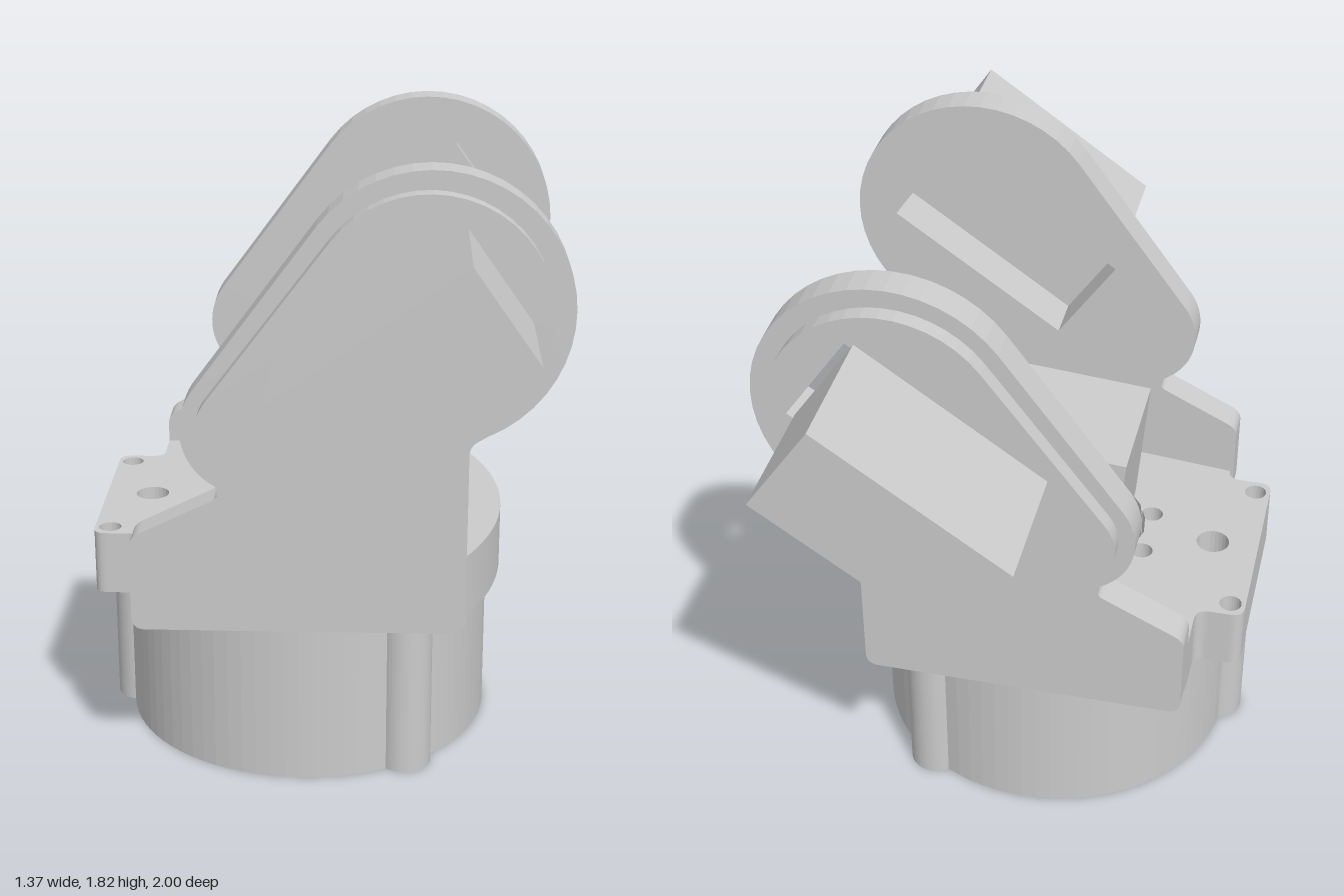
import * as THREE from 'three';

const rad = THREE.MathUtils.degToRad;
const material = new THREE.MeshStandardMaterial({ color: 0xcccccc });

function addMesh(parent, name, geometry) {
  const mesh = new THREE.Mesh(geometry, material);
  mesh.name = name;
  parent.add(mesh);
  return mesh;
}

function extrude(shape, depth, curveSegments = 10) {
  return new THREE.ExtrudeGeometry(shape, { depth, bevelEnabled: false, curveSegments });
}

// Plan outline extruded upwards between two heights
function slab(shape, y0, y1, segments) {
  return extrude(shape, y1 - y0, segments).rotateX(-Math.PI / 2).translate(0, y0, 0);
}

function drill(shape, x, y, r) {
  shape.holes.push(new THREE.Path().absarc(x, y, r, 0, Math.PI * 2, true));
}

// Side motor placement, shared by the motors and their openings
const MOTOR = { x: 0.21, y: 1.364, w: 0.635, h: 0.312, tilt: rad(35) };

function cutMotorOpening(shape) {
  const c = Math.cos(MOTOR.tilt), s = Math.sin(MOTOR.tilt);
  const corners = [[-1, -1], [-1, 1], [1, 1], [1, -1]].map(([i, j]) => {
    const u = i * MOTOR.w / 2, v = j * MOTOR.h / 2;
    return new THREE.Vector2(MOTOR.x + u * c - v * s, MOTOR.y + u * s + v * c);
  });
  shape.holes.push(new THREE.Path(corners));
}

// Round base with three bolt lobes and a wide bore
function baseShape() {
  const cx = -0.07, R = 0.55, d = 0.525, r = 0.08;
  const half = Math.acos((R * R + d * d - r * r) / (2 * R * d));
  const sweep = Math.atan2(R * Math.sin(half), R * Math.cos(half) - d);
  const angles = [-55, 55, 180].map(rad);
  const shape = new THREE.Shape();
  angles.forEach((t, i) => {
    const next = i < 2 ? angles[i + 1] : angles[0] + Math.PI * 2;
    shape.absarc(cx + d * Math.cos(t), d * Math.sin(t), r, t - sweep, t + sweep, false);
    shape.absarc(cx, 0, R, t + half, next - half, false);
    drill(shape, cx + 0.49 * Math.cos(t), 0.49 * Math.sin(t), 0.046);
  });
  drill(shape, cx, 0, 0.34);
  return shape;
}

// Deck with curved front edge, rear tab and screw holes
function deckShape() {
  const R = 0.94, a = Math.asin(0.465 / R), f = 0.04;
  const shape = new THREE.Shape();
  shape.moveTo(-0.55, -0.465);
  shape.absarc(0.52 - R, 0, R, -a, a, false);
  shape.lineTo(-0.55, 0.465);
  shape.lineTo(-0.55, 0.32 + f);
  shape.quadraticCurveTo(-0.55, 0.32, -0.55 - f, 0.32);
  shape.lineTo(-0.69 + f, 0.32);
  shape.quadraticCurveTo(-0.69, 0.32, -0.69, 0.32 - f);
  shape.lineTo(-0.69, -0.32 + f);
  shape.quadraticCurveTo(-0.69, -0.32, -0.69 + f, -0.32);
  shape.lineTo(-0.55 - f, -0.32);
  shape.quadraticCurveTo(-0.55, -0.32, -0.55, -0.32 - f);
  for (const s of [-1, 1]) {
    drill(shape, -0.645, s * 0.27, 0.033);
    drill(shape, -0.345, s * 0.09, 0.033);
    drill(shape, 0.38, s * 0.09, 0.033);
    drill(shape, 0.214, s * 0.403, 0.05);
  }
  drill(shape, -0.55, 0, 0.05);
  drill(shape, -0.08, 0, 0.255);
  return shape;
}

// Upright arm: rectangular foot merging into a tilted teardrop head
function armShape() {
  const shape = new THREE.Shape();
  shape.moveTo(-0.51, 0.478);
  shape.lineTo(0.36, 0.478);
  shape.quadraticCurveTo(0.4, 0.478, 0.4, 0.518);
  shape.lineTo(0.4, 1.02);
  shape.quadraticCurveTo(0.4, 1.05, 0.43, 1.065);
  shape.absarc(0.29, 1.43, 0.388, rad(-66), rad(143.3), false);
  shape.absarc(-0.21, 1.085, 0.19, rad(143.3), rad(240), false);
  shape.quadraticCurveTo(-0.29, 0.89, -0.31, 0.878);
  shape.lineTo(-0.52, 0.775);
  shape.quadraticCurveTo(-0.55, 0.76, -0.55, 0.73);
  shape.lineTo(-0.55, 0.518);
  shape.quadraticCurveTo(-0.55, 0.478, -0.51, 0.478);
  cutMotorOpening(shape);
  return shape;
}

// Smaller teardrop plate on the outside of each arm
function padShape() {
  const shape = new THREE.Shape();
  shape.absarc(0.283, 1.43, 0.335, rad(-74), rad(143), false);
  shape.absarc(-0.21, 1.095, 0.143, rad(143), rad(286), false);
  cutMotorOpening(shape);
  return shape;
}

export function createModel() {
  const model = new THREE.Group();
  model.name = 'motorBracket';

  addMesh(model, 'base', slab(baseShape(), 0, 0.48, 12)).position.z = 0.01;
  addMesh(model, 'deck', slab(deckShape(), 0.48, 0.67, 12)).position.z = 0.008;

  // Centre motor leaning slightly back
  const centre = addMesh(model, 'centreMotor', new THREE.BoxGeometry(0.63, 0.48, 0.4));
  centre.position.set(0.026, 0.866, -0.003);
  centre.rotation.z = rad(5);

  // Front and back arms with pads and side motors
  const sides = [
    { name: 'front', s: 1, inner: 0.475, shift: 0 },
    { name: 'back', s: -1, inner: 0.457, shift: -0.025 },
  ];
  for (const { name, s, inner, shift } of sides) {
    const side = new THREE.Group();
    side.name = name + 'Side';
    const mid = inner + 0.097, outer = mid + 0.05;
    const place = (a, b) => Math.min(s * a, s * b);
    addMesh(side, name + 'Arm', extrude(armShape(), 0.097, 14)).position.z = place(inner, mid);
    addMesh(side, name + 'Pad', extrude(padShape(), 0.05, 14)).position.z = place(mid, outer);
    const motor = addMesh(side, name + 'Motor', new THREE.BoxGeometry(MOTOR.w, MOTOR.h, 1 - outer));
    motor.position.set(MOTOR.x + shift, MOTOR.y, s * (1 + outer) / 2);
    motor.rotation.z = MOTOR.tilt;
    model.add(side);
  }
  return model;
}
